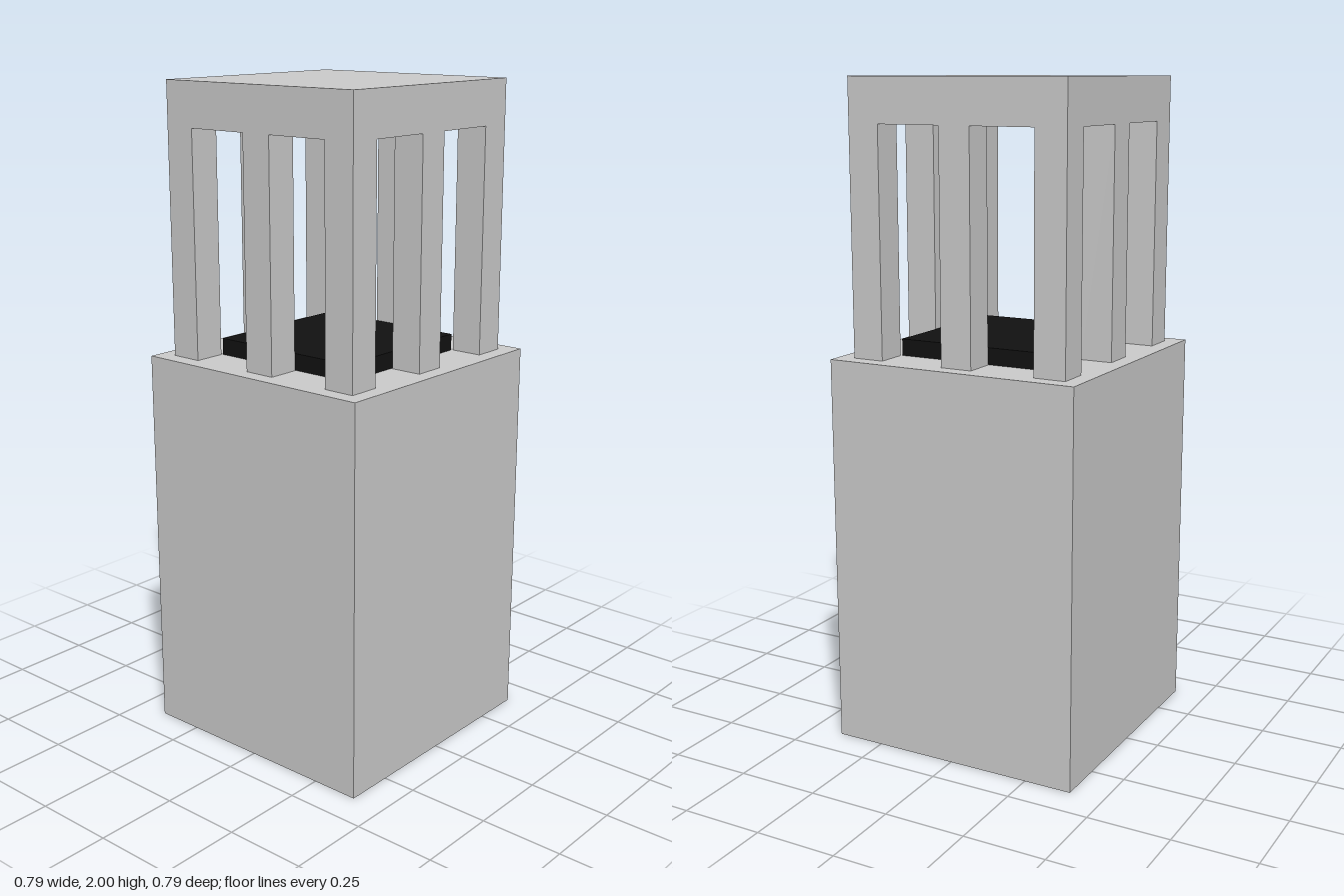
import * as THREE from 'three';

export function createModel() {
  const model = new THREE.Group();
  const grey = new THREE.MeshStandardMaterial({ color: 0xcccccc });
  const black = new THREE.MeshStandardMaterial({ color: 0x111111 });

  const baseTop = 1.19, roofBottom = 1.868, roofTop = 2;
  const baseWidth = 0.794, cageWidth = 0.694, postWidth = 0.098;

  // Square block standing between two heights
  function block(name, width, bottom, top, material, x = 0, z = 0) {
    const mesh = new THREE.Mesh(new THREE.BoxGeometry(width, top - bottom, width), material);
    mesh.position.set(x, (bottom + top) / 2, z);
    mesh.name = name;
    return mesh;
  }

  // Pedestal, dark plate inside the cage, and solid roof
  model.add(
    block('pedestal', baseWidth, 0, baseTop, grey),
    block('darkPlate', 0.49, baseTop, 1.24, black),
    block('roof', cageWidth, roofBottom, roofTop, grey)
  );

  // Posts at the corners and the middle of each side
  const posts = new THREE.Group();
  posts.name = 'posts';
  const reach = (cageWidth - postWidth) / 2;
  for (const i of [-1, 0, 1]) {
    for (const j of [-1, 0, 1]) {
      if (i === 0 && j === 0) continue;
      const name = i && j ? 'cornerPost' : 'middlePost';
      posts.add(block(name, postWidth, baseTop, roofBottom, grey, i * reach, j * reach));
    }
  }
  model.add(posts);

  return model;
}
